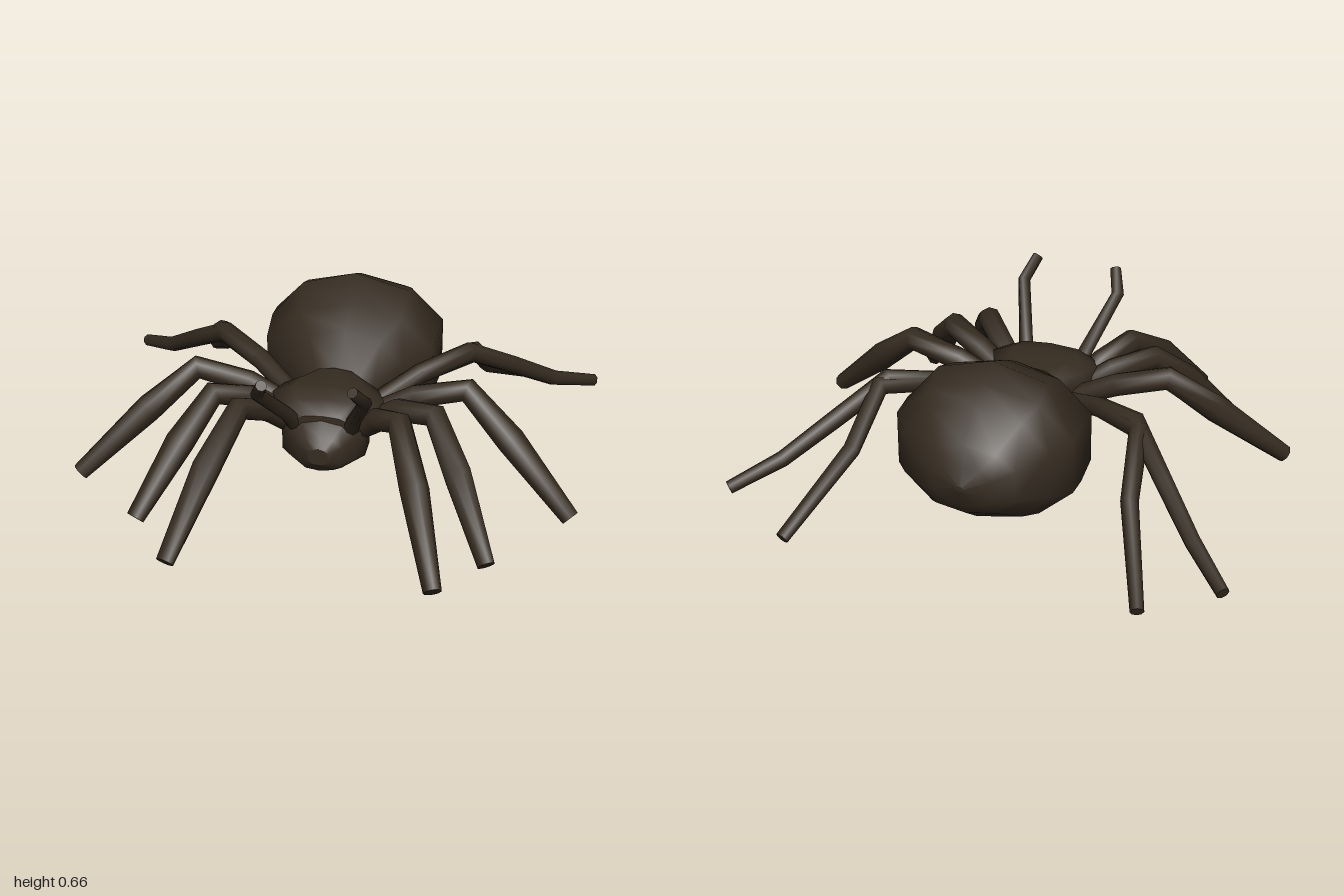
import * as THREE from 'three';

const V = (p) => new THREE.Vector3(...p);

// Skin a list of equal-sized rings of points and close both ends.
function skin(rings, material, name) {
  const n = rings[0].length, pos = [], index = [];
  rings.forEach((ring) => ring.forEach((p) => pos.push(p.x, p.y, p.z)));
  for (let i = 0; i < rings.length - 1; i++) {
    for (let j = 0; j < n; j++) {
      const a = i * n + j, b = i * n + (j + 1) % n;
      index.push(a, b, a + n, b, b + n, a + n);
    }
  }
  [[rings[0], true], [rings[rings.length - 1], false]].forEach(([ring, first]) => {
    const base = pos.length / 3;
    const mid = ring.reduce((s, p) => s.add(p), new THREE.Vector3()).divideScalar(n);
    [...ring, mid].forEach((p) => pos.push(p.x, p.y, p.z));
    for (let j = 0; j < n; j++) {
      const a = base + j, b = base + (j + 1) % n;
      index.push(base + n, ...(first ? [b, a] : [a, b]));
    }
  });
  const geo = new THREE.BufferGeometry();
  geo.setAttribute('position', new THREE.Float32BufferAttribute(pos, 3));
  geo.setIndex(index);
  geo.computeVertexNormals();
  const mesh = new THREE.Mesh(geo, material);
  mesh.name = name;
  return mesh;
}

// Body sections run from front to back: [z, half width, bottom, middle, top].
// Crown and belly below 1 flatten the upper and lower side.
function body(sections, crown, belly, material, name) {
  const sides = 10;
  const rings = sections.map(([z, w, lo, mid, hi]) =>
    Array.from({ length: sides }, (_, j) => {
      const a = (j / sides) * Math.PI * 2, c = Math.cos(a);
      const y = c > 0 ? mid + (hi - mid) * Math.pow(c, crown) : mid - (mid - lo) * Math.pow(-c, belly);
      return new THREE.Vector3(w * Math.sin(a), y, z);
    }));
  return skin(rings, material, name);
}

// Jointed limb through the given points, with a radius at each joint.
function limb(path, radii, material, name) {
  const sides = 8;
  const rings = path.map((p, i) => {
    const t = new THREE.Vector3();
    if (i > 0) t.add(p.clone().sub(path[i - 1]).normalize());
    if (i < path.length - 1) t.add(path[i + 1].clone().sub(p).normalize());
    t.normalize();
    const s = t.clone().cross(new THREE.Vector3(0, 1, 0)).normalize();
    const u = s.clone().cross(t);
    return Array.from({ length: sides }, (_, j) => {
      const a = (j / sides) * Math.PI * 2;
      return p.clone().addScaledVector(s, radii[i] * Math.sin(a)).addScaledVector(u, radii[i] * Math.cos(a));
    });
  });
  return skin(rings, material, name);
}

// Mirror a limb path, easing it over to its own foot position.
function mirrorPath(path, foot) {
  const flipped = path.map((p) => new THREE.Vector3(-p.x, p.y, p.z));
  const last = flipped.length - 1;
  const shift = V(foot).sub(flipped[last]);
  return flipped.map((p, i) => p.addScaledVector(shift, (i / last) ** 2));
}

export function createModel() {
  const group = new THREE.Group();
  group.name = 'spider';
  const shell = new THREE.MeshStandardMaterial({ color: 0x352b20 });
  shell.name = 'dark brown shell';

  // Abdomen, carapace and head
  const abdomen = body([
    [0.06, 0.09, 0.22, 0.30, 0.37],
    [0.0, 0.14, 0.18, 0.31, 0.42],
    [-0.14, 0.245, 0.10, 0.33, 0.53],
    [-0.25, 0.355, 0.07, 0.34, 0.59],
    [-0.40, 0.365, 0.055, 0.34, 0.66],
    [-0.50, 0.365, 0.065, 0.345, 0.615],
    [-0.59, 0.30, 0.10, 0.35, 0.57],
    [-0.70, 0.20, 0.18, 0.34, 0.47],
    [-0.735, 0.12, 0.23, 0.33, 0.40],
    [-0.765, 0.015, 0.31, 0.32, 0.33],
  ], 0.95, 0.68, shell, 'abdomen');
  abdomen.position.x = 0.012;
  group.add(abdomen);
  group.add(body([
    [0.29, 0.11, 0.25, 0.33, 0.38],
    [0.24, 0.19, 0.20, 0.34, 0.425],
    [0.16, 0.228, 0.19, 0.345, 0.44],
    [0.08, 0.195, 0.20, 0.345, 0.44],
    [0.0, 0.11, 0.25, 0.35, 0.435],
  ], 0.5, 1, shell, 'carapace'));
  group.add(body([
    [0.368, 0.04, 0.21, 0.25, 0.28],
    [0.34, 0.09, 0.17, 0.25, 0.32],
    [0.29, 0.13, 0.15, 0.26, 0.36],
    [0.25, 0.17, 0.15, 0.27, 0.385],
    [0.15, 0.17, 0.15, 0.27, 0.38],
    [0.10, 0.12, 0.20, 0.28, 0.36],
  ], 0.8, 0.5, shell, 'head'));

  // Limbs of the left side; "right" is the slightly different foot of the other side
  const thick = [0.04, 0.047, 0.048, 0.056, 0.035], thin = [0.035, 0.04, 0.04, 0.034, 0.026];
  const limbs = [
    { name: 'FrontLeg', radii: thick, right: [-0.48, 0.03, 0.85],
      path: [[0.12, 0.28, 0.20], [0.21, 0.37, 0.26], [0.31, 0.425, 0.37], [0.40, 0.28, 0.59], [0.51, 0.033, 0.87]] },
    { name: 'SecondLeg', radii: thick, right: [-0.66, 0.045, 0.60],
      path: [[0.12, 0.28, 0.15], [0.28, 0.38, 0.19], [0.43, 0.42, 0.28], [0.54, 0.27, 0.44], [0.68, 0.035, 0.67]] },
    { name: 'ThirdLeg', radii: thick, right: [-0.96, 0.05, 0.32],
      path: [[0.12, 0.28, 0.08], [0.33, 0.38, 0.07], [0.53, 0.434, 0.085], [0.71, 0.28, 0.17], [0.96, 0.045, 0.31]] },
    { name: 'FourthLeg', radii: [0.035, 0.04, 0.04, 0.036, 0.032, 0.026], right: [-0.975, 0.085, -0.76],
      path: [[0.12, 0.29, 0.05], [0.32, 0.38, -0.12], [0.50, 0.425, -0.25], [0.66, 0.30, -0.41],
        [0.82, 0.175, -0.56], [0.98, 0.10, -0.71]] },
    { name: 'RearLeg', radii: thin, right: [-0.70, 0.03, -0.89],
      path: [[0.12, 0.29, 0.05], [0.32, 0.38, -0.12], [0.52, 0.41, -0.29], [0.55, 0.24, -0.51], [0.685, 0.03, -0.87]] },
    { name: 'Feeler', radii: [0.035, 0.028, 0.026, 0.022], right: [-0.17, 0.64, 0.56],
      path: [[0.10, 0.30, 0.24], [0.13, 0.39, 0.31], [0.20, 0.565, 0.49], [0.165, 0.645, 0.565]] },
  ];
  limbs.forEach(({ name, radii, path, right }) => {
    const points = path.map(V);
    group.add(limb(points, radii, shell, 'left' + name));
    group.add(limb(mirrorPath(points, right), radii, shell, 'right' + name));
  });
  return group;
}
